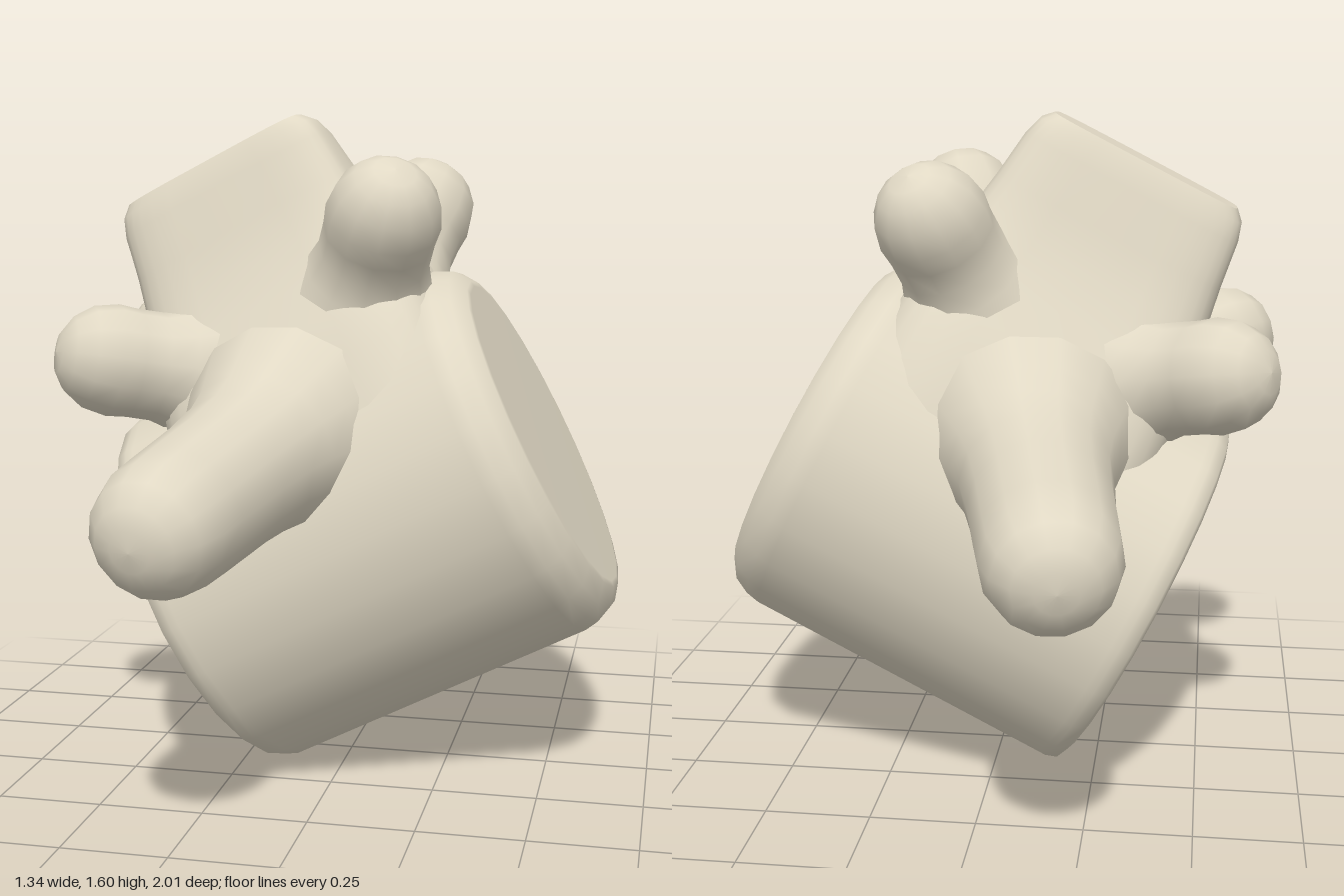
import * as THREE from 'three';

const bone = new THREE.MeshStandardMaterial({ color: 0xe0d8c4 });
bone.name = 'bone';

// Solid of revolution running from one point to another; profile is [radius, distance]
function turned(name, from, to, profile, sides) {
  const geo = new THREE.LatheGeometry(profile.map(([r, d]) => new THREE.Vector2(r, d)), sides);
  const mesh = new THREE.Mesh(geo, bone);
  const start = new THREE.Vector3(...from);
  const dir = new THREE.Vector3(...to).sub(start).normalize();
  mesh.position.copy(start);
  mesh.quaternion.setFromUnitVectors(new THREE.Vector3(0, 1, 0), dir);
  mesh.name = name;
  return mesh;
}

// Rounded-rectangle rings [height, half length, half depth] stacked along y, with a flat top
function loft(name, centreX, rings, sides) {
  const pos = [], index = [];
  const soft = (v) => Math.sign(v) * Math.pow(Math.abs(v), 0.5);
  const addRing = ([y, hx, hz]) => {
    for (let k = 0; k < sides; k++) {
      const a = (k / sides) * Math.PI * 2;
      pos.push(centreX + hx * soft(Math.cos(a)), y, hz * soft(Math.sin(a)));
    }
  };
  rings.forEach(addRing);
  for (let j = 0; j < rings.length - 1; j++) {
    for (let k = 0; k < sides; k++) {
      const a = j * sides + k, b = j * sides + (k + 1) % sides;
      index.push(a, a + sides, b, b, a + sides, b + sides);
    }
  }
  // Top cap has its own ring so that it stays flat
  const top = rings[rings.length - 1], base = pos.length / 3;
  addRing(top);
  pos.push(centreX, top[0], 0);
  for (let k = 0; k < sides; k++) index.push(base + sides, base + (k + 1) % sides, base + k);
  const geo = new THREE.BufferGeometry();
  geo.setAttribute('position', new THREE.Float32BufferAttribute(pos, 3));
  geo.setIndex(index);
  geo.computeVertexNormals();
  const mesh = new THREE.Mesh(geo, bone);
  mesh.name = name;
  return mesh;
}

export function createModel() {
  const model = new THREE.Group();
  model.name = 'model';

  // Everything is laid out upright, then tipped sideways
  const tilted = new THREE.Group();
  tilted.name = 'tiltedBody';
  tilted.rotation.z = 0.473;
  model.add(tilted);

  // Drum with a crisp rim on one end and a softened rim on the other
  tilted.add(turned('drum', [-0.125, 0.543, 0], [1, 0.543, 0], [
    [0, 0], [0.43, 0], [0.445, 0.002], [0.468, 0.012], [0.477, 0.04], [0.477, 0.06],
    [0.477, 0.84], [0.47, 0.875], [0.45, 0.915], [0.41, 0.943], [0.395, 0.945], [0, 0.945],
  ], 24));

  // Neck flaring out of the drum into a flat upright block
  tilted.add(loft('neckBlock', 0.38, [
    [0.8, 0.38, 0.4], [0.93, 0.375, 0.355], [1.03, 0.36, 0.295], [1.12, 0.34, 0.24],
    [1.22, 0.318, 0.185], [1.32, 0.3, 0.15], [1.43, 0.285, 0.118], [1.475, 0.27, 0.1],
    [1.5, 0.245, 0.085],
  ], 32));

  for (const side of [1, -1]) {
    const hand = side > 0 ? 'front' : 'back';

    // Long tapering arm with a flared root
    tilted.add(turned(hand + 'Arm', [0.315, 0.828, side * 0.28], [0.135, 0.774, side], [
      [0.26, 0], [0.222, 0.09], [0.192, 0.16], [0.172, 0.24], [0.16, 0.36], [0.152, 0.54],
      [0.147, 0.62], [0.128, 0.68], [0.09, 0.722], [0.045, 0.74], [0, 0.744],
    ], 14));

    // Short stubs with rounded knobs at the neck corners
    for (const [end, tip, root] of [['Right', -0.012, 0.2], ['Left', 0.748, 0.55]]) {
      tilted.add(turned(hand + end + 'Knob', [root, 1.0, side * 0.09], [tip, 1.175, side * 0.265], [
        [0.235, 0], [0.19, 0.07], [0.152, 0.14], [0.132, 0.2], [0.131, 0.26], [0.135, 0.31],
        [0.122, 0.37], [0.09, 0.415], [0.05, 0.44], [0, 0.447],
      ], 12));
    }
  }
  return model;
}
